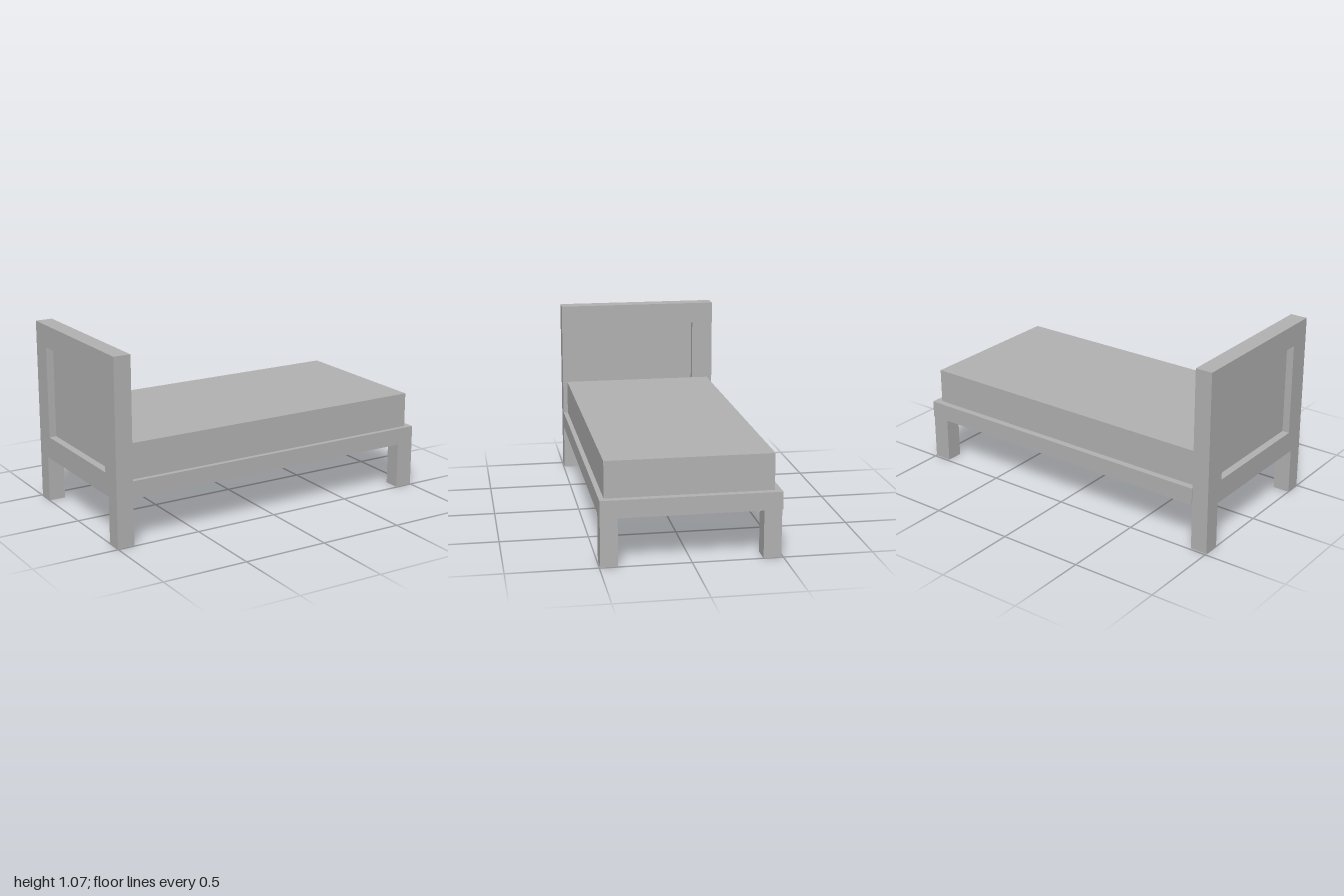
import * as THREE from 'three';

export function createModel() {
  const model = new THREE.Group();
  model.name = 'bed';
  const grey = new THREE.MeshStandardMaterial({ color: 0xb2b2b2 });
  grey.name = 'plain grey';

  const add = (name, geometry) => {
    const mesh = new THREE.Mesh(geometry, grey);
    mesh.name = name;
    model.add(mesh);
    return mesh;
  };

  // Box given by its bounds on each axis
  const box = (name, [x0, x1], [y0, y1], [z0, z1]) =>
    add(name, new THREE.BoxGeometry(x1 - x0, y1 - y0, z1 - z0)
      .translate((x0 + x1) / 2, (y0 + y1) / 2, (z0 + z1) / 2));

  // Flat board with rectangular openings; rectangles are [u0, u1, v0, v1]
  const corners = ([u0, u1, v0, v1]) =>
    [[u0, v0], [u1, v0], [u1, v1], [u0, v1]].map(([u, v]) => new THREE.Vector2(u, v));
  const board = (outline, openings, depth) => {
    const shape = new THREE.Shape(corners(outline));
    for (const o of openings) shape.holes.push(new THREE.Path(corners(o).reverse()));
    return new THREE.ExtrudeGeometry(shape, { depth, bevelEnabled: false });
  };

  // Base frame: rails with a centre beam between two long slots (v = -z)
  add('baseFrame', board(
    [-0.9, 1, -0.495, 0.493],
    [[-0.88, 0.87, 0.025, 0.39], [-0.88, 0.87, -0.4, -0.075]],
    0.1,
  ).rotateX(-Math.PI / 2).translate(0, 0.27, 0));

  // Headboard surround (u = -z) and its thin recessed panel
  add('headboardFrame', board(
    [-0.495, 0.488, 0.27, 1.07],
    [[-0.365, 0.358, 0.4, 0.94]],
    0.1,
  ).rotateY(Math.PI / 2).translate(-1, 0, 0));
  box('headboardPanel', [-0.957, -0.943], [0.4, 0.94], [-0.358, 0.365]);

  // Mattress
  box('mattress', [-0.897, 0.96], [0.37, 0.575], [-0.455, 0.468]);

  // Four square legs
  for (const [end, x] of [['head', [-1, -0.9]], ['foot', [0.895, 1]]]) {
    box(end + 'LegFront', x, [0, 0.27], [0.4, 0.495]);
    box(end + 'LegBack', x, [0, 0.27], [-0.488, -0.39]);
  }
  return model;
}
